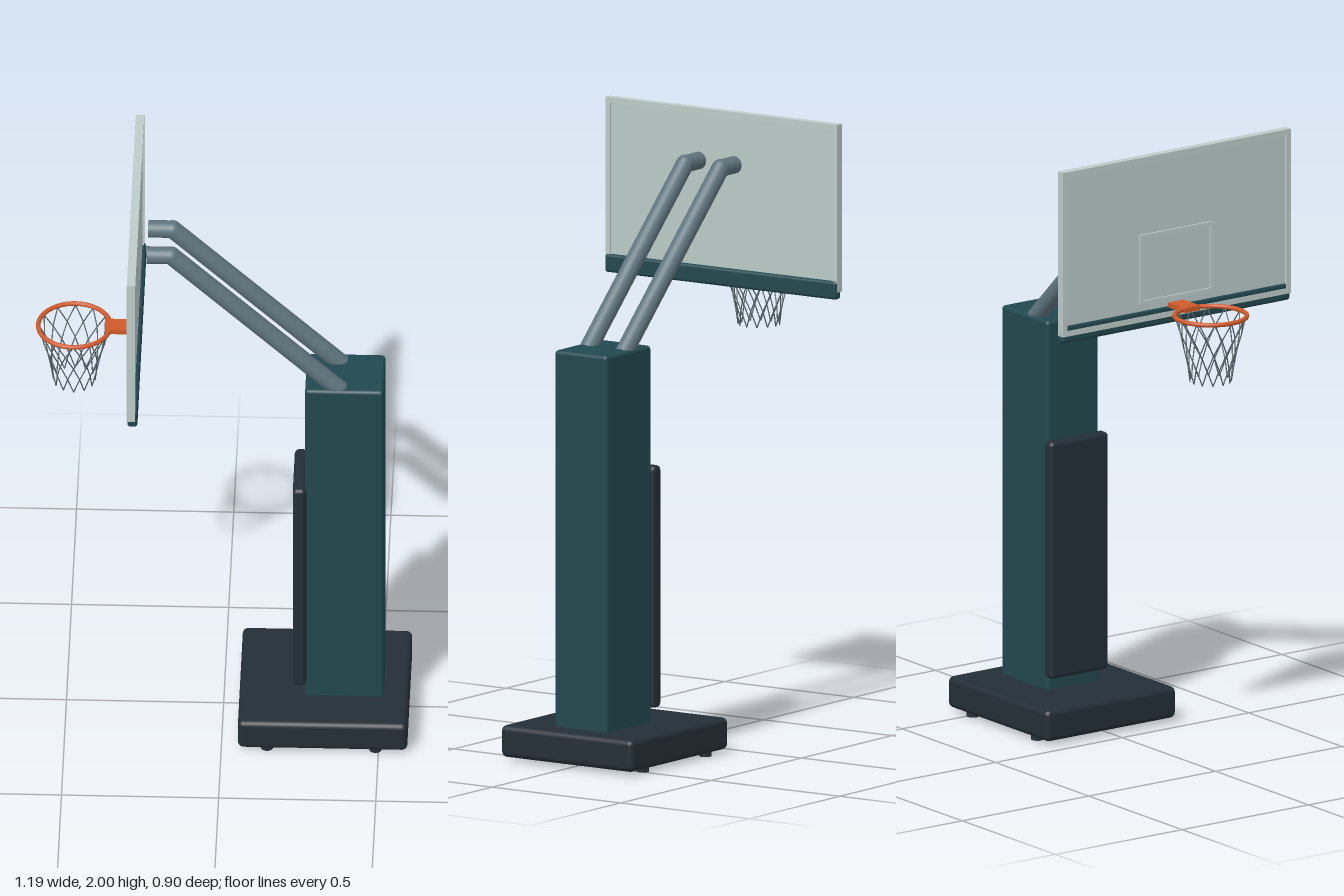
import * as THREE from 'three';
import { mergeGeometries } from 'three/addons/utils/BufferGeometryUtils.js';
import { RoundedBoxGeometry } from 'three/addons/geometries/RoundedBoxGeometry.js';

const material = (name, color) => {
  const m = new THREE.MeshStandardMaterial({ color });
  m.name = name;
  return m;
};
const V = (x, y, z) => new THREE.Vector3(x, y, z);

export function createModel() {
  const model = new THREE.Group();
  model.name = 'basketballHoop';
  const teal = material('teal paint', 0x22484f);
  const dark = material('dark rubber', 0x242e37);
  const steel = material('grey steel', 0x5f747d);
  const glass = material('pale glass', 0xb9c9c7);
  const frame = material('frame grey', 0xbccbc9);
  const orange = material('rim orange', 0xcf5a2a);
  const cord = material('net cord', 0x59656a);

  const add = (name, geometry, mat, parent = model) => {
    const mesh = new THREE.Mesh(geometry, mat);
    mesh.name = name;
    parent.add(mesh);
    return mesh;
  };
  // Box given by its min and max corners, rounded when r > 0
  const box = (name, a, b, mat, r = 0, parent = model) => {
    const s = b.map((v, i) => v - a[i]);
    const g = r ? new RoundedBoxGeometry(...s, 3, r) : new THREE.BoxGeometry(...s);
    g.translate(...a.map((v, i) => (v + b[i]) / 2));
    return add(name, g, mat, parent);
  };
  // Cylinder between two points
  const rod = (a, b, r, sides, open = false) => {
    const d = b.clone().sub(a);
    const g = new THREE.CylinderGeometry(r, r, d.length(), sides, 1, open);
    g.applyQuaternion(new THREE.Quaternion().setFromUnitVectors(V(0, 1, 0), d.normalize()));
    return g.translate(...a.clone().add(b).multiplyScalar(0.5).toArray());
  };

  // Weighted base with four small feet
  box('base', [0.053, 0.012, -0.256], [0.592, 0.115, 0.256], dark, 0.018);
  for (const x of [0.145, 0.49]) for (const z of [-0.228, 0.228]) {
    add('foot', new THREE.CylinderGeometry(0.02, 0.02, 0.03, 16).translate(x, 0.015, z), dark);
  }

  // Post and its safety pad
  box('post', [0.262, 0.105, -0.102], [0.512, 1.33, 0.102], teal, 0.012);
  box('postPad', [0.223, 0.158, -0.115], [0.266, 0.94, 0.115], dark, 0.015);

  // Twin bent arms
  for (const z of [-0.069, 0.069]) {
    const arm = new THREE.Group();
    arm.name = 'arm';
    model.add(arm);
    const elbow = V(-0.165, 1.837, z);
    add('armStub', rod(V(-0.242, 1.837, z), elbow, 0.028, 28), steel, arm);
    add('armElbow', new THREE.SphereGeometry(0.029, 24, 16).translate(...elbow.toArray()), steel, arm);
    add('armTube', rod(elbow, V(0.374, 1.313, z), 0.029, 28), steel, arm);
  }

  // Backboard: glass, raised edge frame, target square and lower padding
  const board = new THREE.Group();
  board.name = 'backboard';
  model.add(board);
  box('glass', [-0.288, 1.46, -0.44], [-0.272, 1.99, 0.44], glass, 0, board);
  const border = (name, x0, x1, y0, y1, hz, w, mat) => {
    for (const s of [-1, 1]) {
      const z = s * (hz - w / 2);
      box(name + 'Side', [x0, y0, z - w / 2], [x1, y1, z + w / 2], mat, 0, board);
    }
    for (const y of [y0, y1 - w]) {
      box(name + 'Rail', [x0, y, w - hz], [x1, y + w, hz - w], mat, 0, board);
    }
  };
  border('frame', -0.294, -0.267, 1.458, 2.0, 0.45, 0.018, frame);
  border('targetSquare', -0.294, -0.286, 1.515, 1.745, 0.145, 0.012, frame);
  box('boardPad', [-0.292, 1.435, -0.45], [-0.26, 1.494, 0.45], teal, 0.01, board);

  // Rim and bracket
  const cx = -0.475, rimY = 1.497;
  add('rim', new THREE.TorusGeometry(0.115, 0.0075, 12, 56).rotateX(Math.PI / 2)
    .translate(cx, rimY, 0), orange);
  box('rimBracket', [-0.376, 1.488, -0.03], [-0.288, 1.504, 0.03], orange);

  // Net: diamond mesh between rings of shifted knots
  const radii = [0.113, 0.099, 0.085, 0.074, 0.066], count = 12;
  const knot = (ring, i) => {
    const a = (i + (ring % 2) / 2) * Math.PI * 2 / count;
    return V(cx + Math.cos(a) * radii[ring], rimY - 0.004 - ring * 0.053, Math.sin(a) * radii[ring]);
  };
  const cords = [];
  for (let ring = 0; ring < radii.length - 1; ring++) {
    for (let i = 0; i < count; i++) {
      const near = ring % 2 ? [i, i + 1] : [i - 1, i];
      for (const j of near) cords.push(rod(knot(ring, i), knot(ring + 1, j), 0.002, 6));
    }
  }
  add('net', mergeGeometries(cords), cord);

  return model;
}
